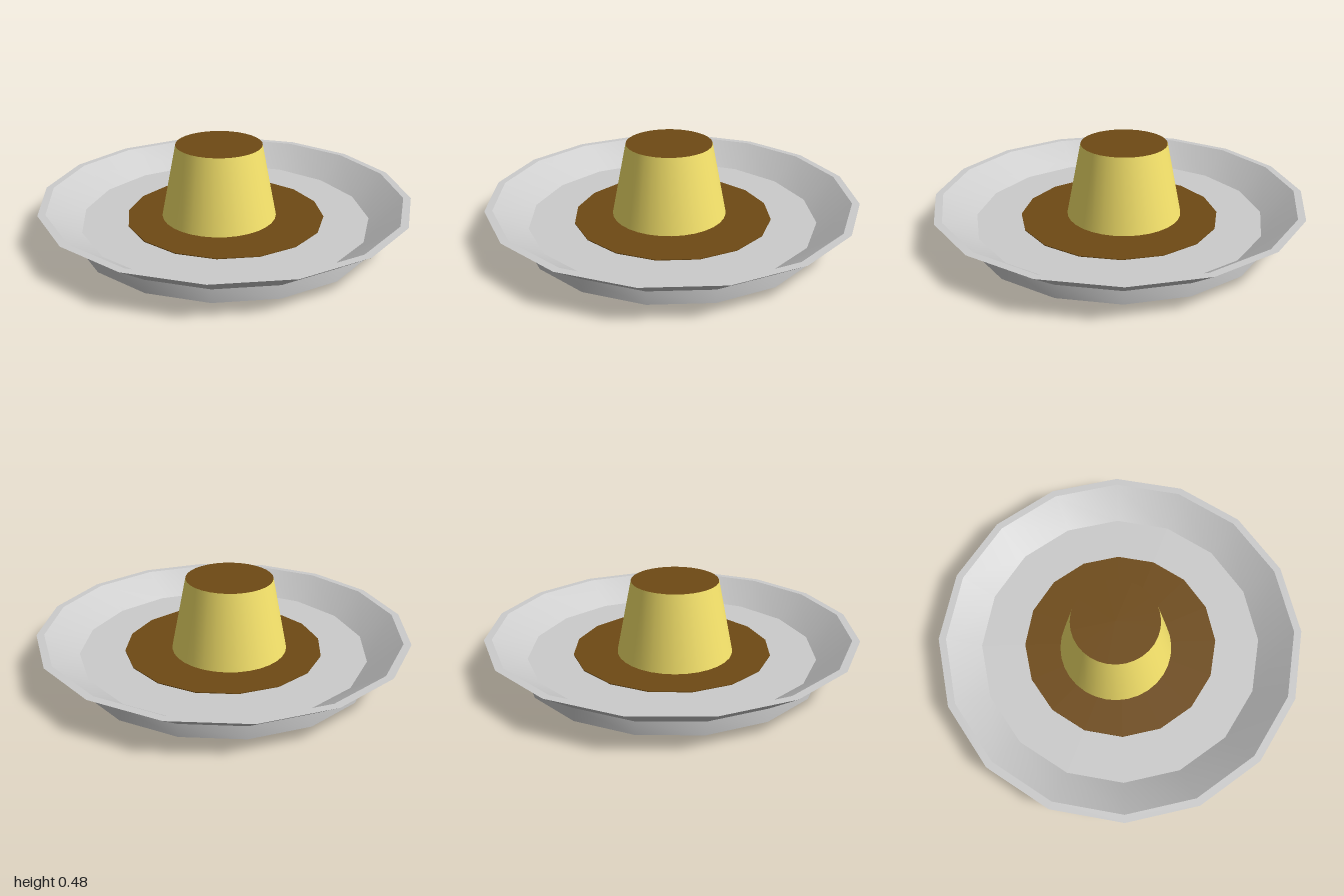
import * as THREE from 'three';
import { toCreasedNormals } from 'three/addons/utils/BufferGeometryUtils.js';

const PLATE_SIDES = 16;
const FLOOR = 0.075;

function part(name, geometry, color) {
  const mesh = new THREE.Mesh(geometry, new THREE.MeshStandardMaterial({ color }));
  mesh.name = name;
  return mesh;
}

// Revolved profile, smooth around and sharp at the profile corners
function turned(points, sides) {
  const profile = points.map(([r, y]) => new THREE.Vector2(r, y));
  return toCreasedNormals(new THREE.LatheGeometry(profile, sides), 0.5);
}

export function createModel() {
  const group = new THREE.Group();
  group.name = 'puddingOnPlate';

  // Plate: recessed underside, foot ring, flared wall, flat lip, inner floor
  group.add(part('plate', turned([
    [0, 0.045], [0.785, 0.045], [0.785, 0], [0.815, 0], [0.815, 0.07],
    [1, 0.2], [0.96, 0.2], [0.785, FLOOR], [0, FLOOR],
  ], PLATE_SIDES), 0xcccccc));

  // Pool of caramel lying on the plate floor
  group.add(part('caramelPool', turned([[0.54, FLOOR], [0.54, FLOOR + 0.004], [0, FLOOR + 0.004]], PLATE_SIDES), 0x6e4a14));

  // Pudding, slightly off the centre of the plate, with a caramel top
  const pudding = new THREE.Group();
  pudding.name = 'pudding';
  pudding.position.set(-0.026, 0, 0.022);
  pudding.add(part('custardBody', turned([[0.315, FLOOR], [0.234, 0.48]], 32), 0xf8e56c));
  const top = part('caramelTop', new THREE.CircleGeometry(0.234, 32).rotateX(-Math.PI / 2), 0x6e4a14);
  top.position.y = 0.48;
  pudding.add(top);
  group.add(pudding);

  return group;
}
